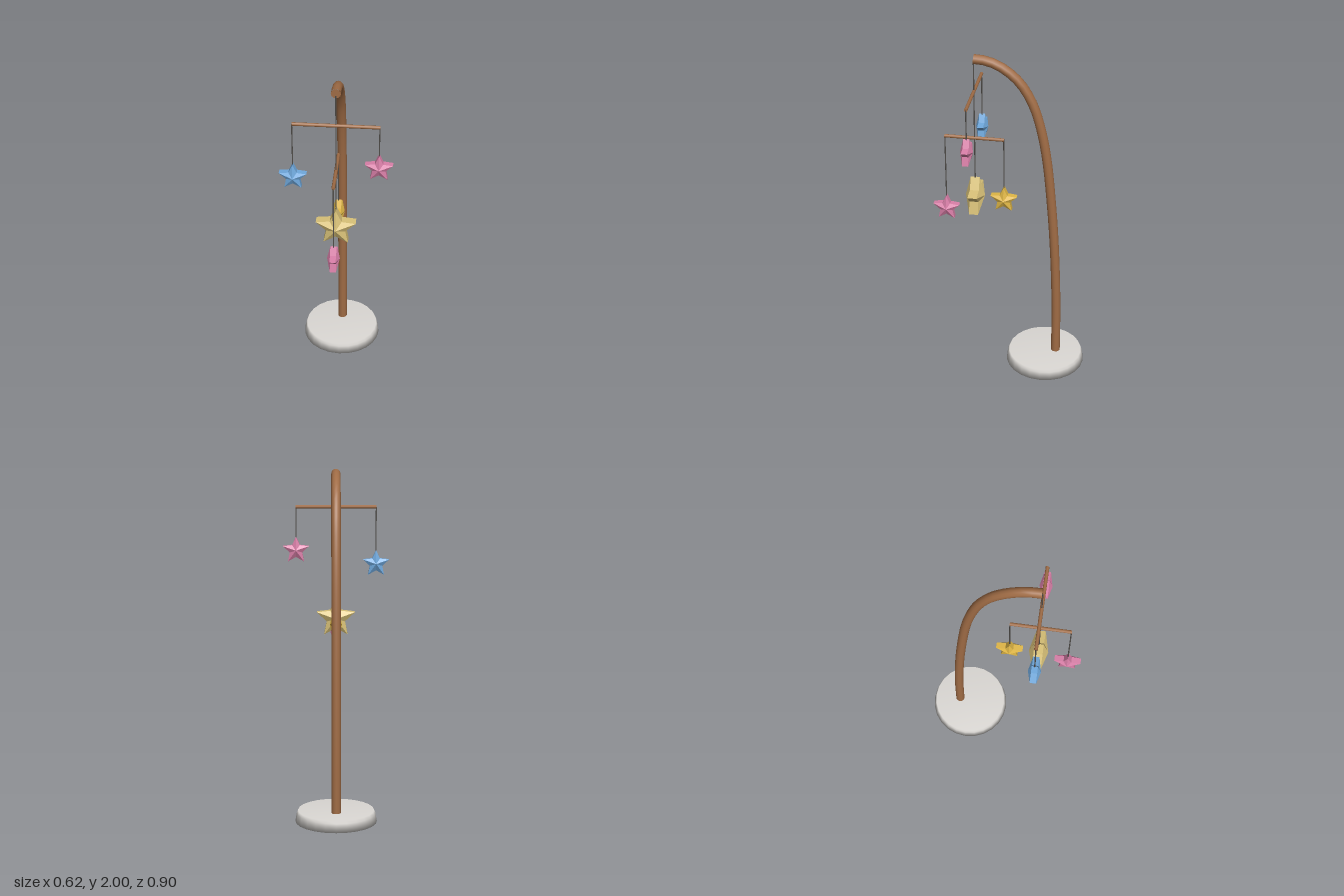
import * as THREE from 'three';

const paint = (name, color) => {
  const m = new THREE.MeshStandardMaterial({ color });
  m.name = name;
  return m;
};

// Five-pointed star facing z: a flat rim with a raised centre on both sides
function starGeometry(radius, rim, bulge) {
  const pos = [];
  const corner = (i, z) => {
    const a = Math.PI / 2 + (i * Math.PI) / 5;
    const r = i % 2 ? radius * 0.48 : radius;
    return [r * Math.cos(a), r * Math.sin(a), z];
  };
  for (let i = 0; i < 10; i++) {
    const f0 = corner(i, rim), f1 = corner(i + 1, rim);
    const b0 = corner(i, -rim), b1 = corner(i + 1, -rim);
    pos.push(...f0, ...f1, 0, 0, bulge);
    pos.push(...b1, ...b0, 0, 0, -bulge);
    pos.push(...b0, ...b1, ...f1, ...b0, ...f1, ...f0);
  }
  const g = new THREE.BufferGeometry();
  g.setAttribute('position', new THREE.Float32BufferAttribute(pos, 3));
  g.computeVertexNormals();
  return g;
}

export function createModel() {
  const wood = paint('wood', 0xa06c45);
  const stone = paint('pale base', 0xdbd8d4);
  const thread = paint('thread', 0x55524e);
  const blue = paint('blue', 0x6fa8dc);
  const pink = paint('pink', 0xd97fa8);
  const paleGold = paint('pale gold', 0xd8c178);
  const yellow = paint('yellow', 0xe0b746);

  const model = new THREE.Group();
  model.name = 'starMobile';
  const add = (name, geometry, material, x = 0, y = 0, z = 0) => {
    const mesh = new THREE.Mesh(geometry, material);
    mesh.name = name;
    mesh.position.set(x, y, z);
    model.add(mesh);
    return mesh;
  };

  // Round, softly shaded base
  const profile = [[0, 0], [0.235, 0], [0.226, 0.05], [0.219, 0.066], [0, 0.066]];
  add('base', new THREE.LatheGeometry(profile.map(p => new THREE.Vector2(...p)), 24), stone, 0, 0, -0.215);

  // Pole arching forward, closed at its tip
  const path = [[0.03, -0.28], [0.4, -0.277], [0.75, -0.263], [1.05, -0.242], [1.4, -0.205], [1.6, -0.165],
    [1.73, -0.122], [1.85, -0.05], [1.93, 0.045], [1.965, 0.13], [1.972, 0.204]];
  const curve = new THREE.CatmullRomCurve3(path.map(([y, z]) => new THREE.Vector3(0, y, z)));
  add('pole', new THREE.TubeGeometry(curve, 40, 0.027, 12), wood);
  add('poleTip', new THREE.CircleGeometry(0.027, 12), wood, 0, 1.972, 0.204);

  // Crossbars
  const hubZ = 0.205;
  add('upperBar', new THREE.CylinderGeometry(0.01, 0.01, 0.474, 8), wood, 0, 1.777, hubZ).rotation.z = Math.PI / 2;
  add('lowerBar', new THREE.CylinderGeometry(0.01, 0.01, 0.341, 8), wood, 0, 1.488, 0.2075).rotation.x = Math.PI / 2;

  // Each star hangs by a thread from a bar or from the pole tip
  const small = starGeometry(0.08, 0.017, 0.036);
  const large = starGeometry(0.118, 0.026, 0.056);
  const hang = (name, geometry, material, x, y, z, top, radius, turn = 0) => {
    add(name, geometry, material, x, y, z).rotation.y = turn;
    const low = y + radius - 0.01;
    add(name + 'Thread', new THREE.CylinderGeometry(0.0035, 0.0035, top - low, 6), thread, x, (top + low) / 2, z);
  };
  hang('centreStar', large, paleGold, 0, 1.12, hubZ, 1.96, 0.118);
  hang('rightStar', small, blue, -0.237, 1.444, hubZ, 1.777, 0.08);
  hang('leftStar', small, pink, 0.235, 1.523, hubZ, 1.777, 0.08);
  hang('frontStar', small, pink, 0, 1.022, 0.376, 1.488, 0.08, Math.PI / 2);
  hang('backStar', small, yellow, 0, 1.105, 0.038, 1.488, 0.08, Math.PI / 2);

  return model;
}
